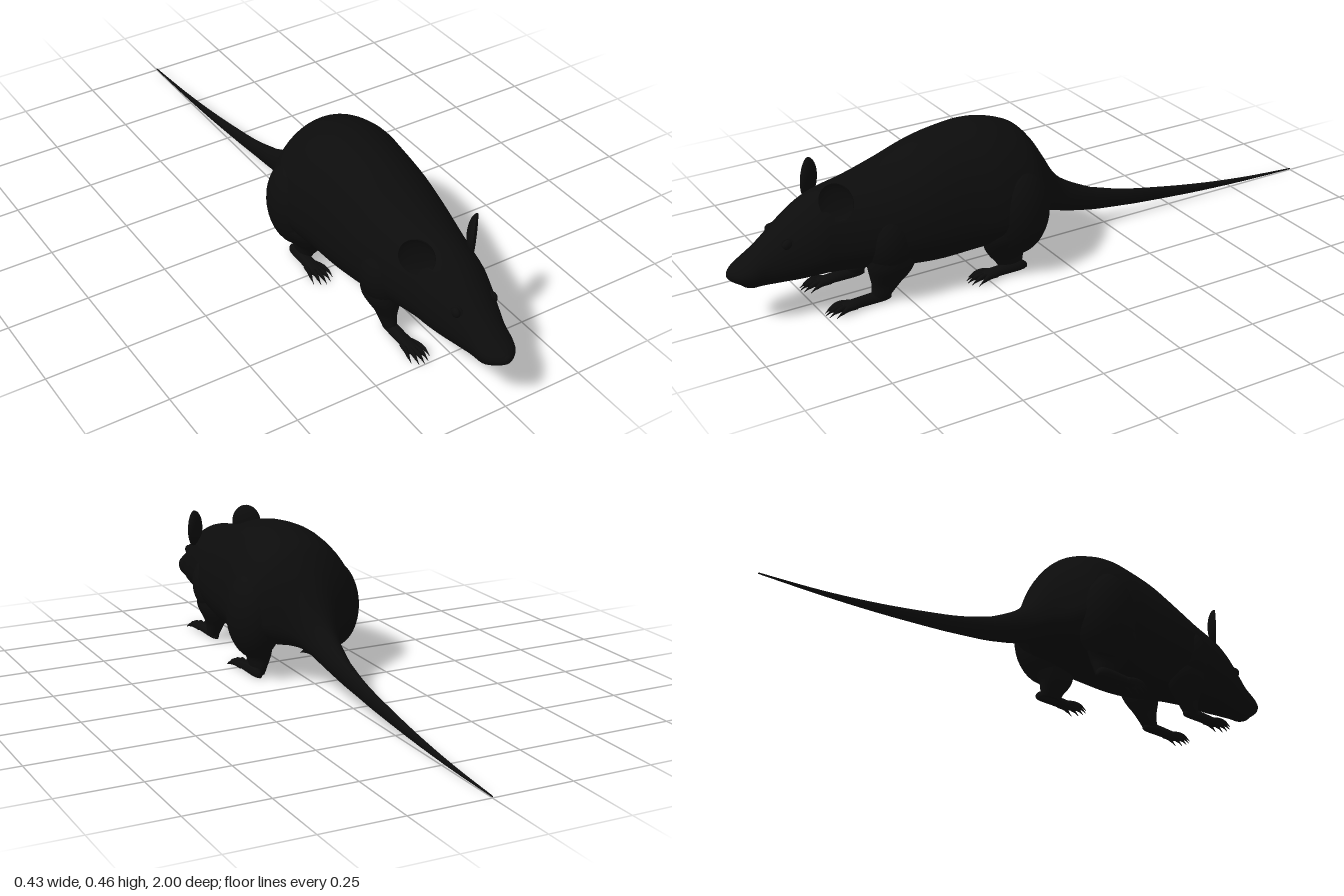
import * as THREE from 'three';

const fur = new THREE.MeshStandardMaterial({ color: 0x0c0c0c });
fur.name = 'black fur';

// Smoothly fills in stations between the given rows of numbers
function refine(rows, steps) {
  const out = [];
  const at = (i) => rows[Math.min(rows.length - 1, Math.max(0, i))];
  for (let i = 0; i < rows.length - 1; i++) {
    for (let s = 0; s < steps; s++) {
      const t = s / steps;
      out.push(rows[i].map((_, k) => {
        const a = at(i - 1)[k], b = at(i)[k], c = at(i + 1)[k], d = at(i + 2)[k];
        const m0 = (c - a) / 2, m1 = (d - b) / 2;
        return b + m0 * t + (3 * (c - b) - 2 * m0 - m1) * t * t + (2 * (b - c) + m0 + m1) * t * t * t;
      }));
    }
  }
  out.push(rows[rows.length - 1]);
  return out;
}

// Closed smooth skin over rings of points; section(row, angle) gives [x, y, z]
function loft(rows, section, segs, steps) {
  const stations = refine(rows, steps), pos = [], idx = [], n = stations.length;
  for (const row of stations) {
    for (let j = 0; j < segs; j++) pos.push(...section(row, (j / segs) * Math.PI * 2));
  }
  const centre = (row) => {
    const a = section(row, 0), b = section(row, Math.PI);
    return a.map((v, k) => (v + b[k]) / 2);
  };
  pos.push(...centre(stations[0]), ...centre(stations[n - 1]));
  for (let j = 0; j < segs; j++) {
    const k = (j + 1) % segs;
    for (let i = 0; i < n - 1; i++) {
      const a = i * segs + j, b = i * segs + k;
      idx.push(a, b, b + segs, a, b + segs, a + segs);
    }
    const last = (n - 1) * segs;
    idx.push(n * segs, k, j, n * segs + 1, last + j, last + k);
  }
  const g = new THREE.BufferGeometry();
  g.setAttribute('position', new THREE.Float32BufferAttribute(pos, 3));
  g.setIndex(idx);
  g.computeVertexNormals();
  return g;
}

// Upright section: row = [z, x, top, widest height, bottom, half width]
const upright = ([z, x, top, mid, bot, w], a) => {
  const s = Math.sin(a);
  return [x + w * Math.cos(a), mid + s * (s > 0 ? top - mid : mid - bot), z];
};
// Level section: row = [y, x, z, x radius, z radius]
const level = ([y, x, z, rx, rz], a) => [x + rx * Math.cos(a), y, z - rz * Math.sin(a)];

function add(parent, name, geometry) {
  const mesh = new THREE.Mesh(geometry, fur);
  mesh.name = name;
  parent.add(mesh);
  return mesh;
}

function blob(parent, name, p, r) {
  const mesh = add(parent, name, new THREE.SphereGeometry(1, 32, 20));
  mesh.position.set(...p);
  mesh.scale.set(...r);
  return mesh;
}

// Foot with fanned toes and drooping claws
function addFoot(parent, x, s, heel, front, w, spread) {
  const len = front - heel;
  add(parent, 'foot', loft([
    [heel, x * s, 0.022, 0.014, 0.006, 0.006],
    [heel + len * 0.15, x * s, 0.036, 0.016, 0.004, w * 0.75],
    [heel + len * 0.6, x * s, 0.034, 0.016, 0.005, w * 0.85],
    [heel + len * 0.9, x * s, 0.028, 0.016, 0.006, w],
    [front, x * s, 0.02, 0.015, 0.01, w * 0.7],
  ], upright, 18, 4));
  for (let i = 0; i < 5; i++) {
    const f = (i - 2) / 2, z = front - 0.012 - f * f * 0.02;
    const px = (d) => (x + f * (w * 0.75 + d)) * s;
    add(parent, 'toe', loft([
      [z - 0.015, px(0), 0.024, 0.016, 0.008, 0.006],
      [z + 0.015, px(spread * 0.4), 0.028, 0.02, 0.011, 0.0065],
      [z + 0.033, px(spread * 0.75), 0.023, 0.017, 0.01, 0.005],
      [z + 0.043, px(spread * 0.9), 0.017, 0.013, 0.009, 0.0025],
      [z + 0.056, px(spread), 0.006, 0.005, 0.004, 0.0005],
    ], upright, 8, 3));
  }
}

export function createModel() {
  const model = new THREE.Group();
  model.name = 'rat';

  // Head, trunk and rump in one skin: z, top, widest height, bottom, half width
  const body = [
    [-0.25, 0.122, 0.09, 0.056, 0.018],
    [-0.2, 0.137, 0.1, 0.062, 0.024],
    [-0.1, 0.188, 0.13, 0.085, 0.04],
    [-0.05, 0.235, 0.155, 0.102, 0.056],
    [0, 0.315, 0.185, 0.114, 0.09],
    [0.05, 0.385, 0.2, 0.115, 0.155],
    [0.1, 0.428, 0.2, 0.105, 0.192],
    [0.2, 0.457, 0.205, 0.088, 0.2],
    [0.3, 0.455, 0.21, 0.075, 0.187],
    [0.4, 0.437, 0.21, 0.07, 0.177],
    [0.5, 0.403, 0.21, 0.08, 0.163],
    [0.6, 0.376, 0.21, 0.098, 0.14],
    [0.7, 0.358, 0.205, 0.108, 0.116],
    [0.75, 0.34, 0.2, 0.11, 0.109],
    [0.8, 0.312, 0.19, 0.11, 0.095],
    [0.85, 0.275, 0.18, 0.112, 0.078],
    [0.9, 0.236, 0.17, 0.114, 0.062],
    [0.94, 0.208, 0.163, 0.117, 0.056],
    [0.97, 0.19, 0.162, 0.134, 0.043],
    [0.99, 0.178, 0.162, 0.147, 0.022],
    [0.998, 0.168, 0.162, 0.156, 0.006],
  ].map(([z, ...r]) => [z, 0, ...r]);
  add(model, 'body', loft(body, upright, 48, 4));

  // Long tapering tail
  add(model, 'tail', loft([
    [-1, 0.01, 0.008, 0.006, 0.002],
    [-0.8, 0.025, 0.018, 0.011, 0.006],
    [-0.6, 0.05, 0.036, 0.021, 0.009],
    [-0.4, 0.085, 0.061, 0.037, 0.0125],
    [-0.3, 0.107, 0.078, 0.048, 0.0155],
    [-0.2, 0.137, 0.1, 0.062, 0.024],
    [-0.15, 0.15, 0.115, 0.075, 0.025],
  ].map(([z, ...r]) => [z, 0, ...r]), upright, 20, 5));

  blob(model, 'nose', [0, 0.166, 0.984], [0.018, 0.013, 0.015]);
  blob(model, 'chin', [0, 0.135, 0.925], [0.036, 0.023, 0.038]);

  for (const s of [1, -1]) {
    const side = s > 0 ? 'left' : 'right';

    // Eye with a soft lid ring
    blob(model, side + 'Eye', [0.061 * s, 0.243, 0.838], [0.011, 0.015, 0.016]);
    const lid = add(model, side + 'Eyelid', new THREE.TorusGeometry(0.016, 0.004, 8, 24));
    lid.position.set(0.061 * s, 0.243, 0.838);
    lid.rotation.set(-0.35, 1.05 * s, 0, 'YXZ');

    // Cupped ear: a sphere with its front pushed inward
    const cup = new THREE.SphereGeometry(1, 32, 24);
    const p = cup.attributes.position;
    for (let i = 0; i < p.count; i++) {
      const z = p.getZ(i);
      p.setXYZ(i, p.getX(i) * 0.051, p.getY(i) * 0.059, z > 0 ? 0.004 - 0.016 * z + 0.012 * (z < 0.3 ? z : 0.3) : 0.004 + 0.024 * z);
    }
    cup.computeVertexNormals();
    const ear = add(model, side + 'Ear', cup);
    ear.position.set(0.094 * s, 0.352, 0.7);
    ear.rotation.set(0, 0.8 * s, -0.1 * s);

    // Front leg
    const foreleg = new THREE.Group();
    foreleg.name = side + 'FrontLeg';
    blob(foreleg, 'shoulder', [0.092 * s, 0.2, 0.545], [0.07, 0.1, 0.085]);
    add(foreleg, 'leg', loft([
      [0.012, 0.088, 0.575, 0.015, 0.026],
      [0.03, 0.088, 0.57, 0.02, 0.034],
      [0.06, 0.09, 0.555, 0.025, 0.048],
      [0.09, 0.094, 0.545, 0.037, 0.064],
      [0.13, 0.098, 0.543, 0.05, 0.074],
      [0.2, 0.095, 0.545, 0.05, 0.075],
    ].map(([y, x, ...r]) => [y, x * s, ...r]), level, 28, 4));
    addFoot(foreleg, 0.087, s, 0.545, 0.705, 0.022, 0.014);
    model.add(foreleg);

    // Hind leg
    const hindleg = new THREE.Group();
    hindleg.name = side + 'HindLeg';
    blob(hindleg, 'haunch', [0.132 * s, 0.205, 0.15], [0.083, 0.14, 0.105]);
    add(hindleg, 'leg', loft([
      [0.012, 0.118, 0.16, 0.018, 0.035],
      [0.04, 0.114, 0.165, 0.027, 0.045],
      [0.065, 0.112, 0.172, 0.036, 0.058],
      [0.1, 0.122, 0.172, 0.05, 0.078],
      [0.15, 0.135, 0.165, 0.064, 0.095],
      [0.24, 0.13, 0.16, 0.065, 0.09],
    ].map(([y, x, ...r]) => [y, x * s, ...r]), level, 28, 4));
    addFoot(hindleg, 0.13, s, 0.115, 0.27, 0.023, 0.015);
    model.add(hindleg);
  }
  return model;
}
